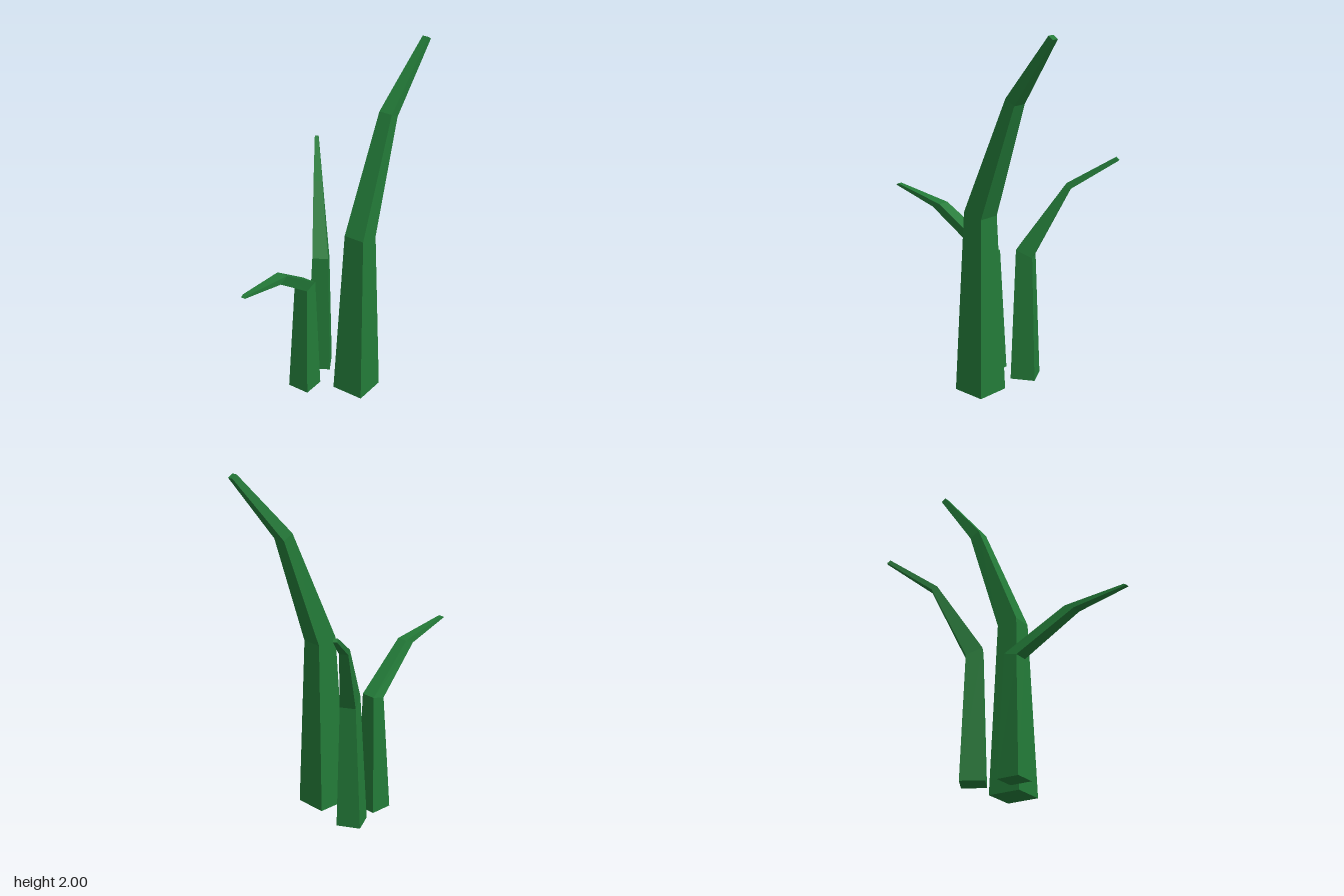
import * as THREE from 'three';

const green = new THREE.MeshStandardMaterial({ color: 0x237a38 });
green.name = 'leafGreen';

// Four-sided tapering stalk. Each ring: [leftX, leftY, rightX, rightY, backZ, frontZ]
function stalk(name, rings) {
  const corners = rings.map(([lx, ly, rx, ry, zb, zf]) => [
    [lx, ly, zb], [lx, ly, zf], [rx, ry, zf], [rx, ry, zb],
  ]);
  const pos = [];
  const quad = (a, b, c, d) => pos.push(...a, ...b, ...c, ...a, ...c, ...d);
  for (let k = 0; k < corners.length - 1; k++) {
    const lo = corners[k], hi = corners[k + 1];
    for (let i = 0; i < 4; i++) {
      const j = (i + 1) % 4;
      quad(lo[i], lo[j], hi[j], hi[i]);
    }
  }
  // closed foot and tip
  const foot = corners[0], tip = corners[corners.length - 1];
  quad(foot[0], foot[3], foot[2], foot[1]);
  quad(tip[0], tip[1], tip[2], tip[3]);

  const geo = new THREE.BufferGeometry();
  geo.setAttribute('position', new THREE.Float32BufferAttribute(pos, 3));
  geo.computeVertexNormals();
  const mesh = new THREE.Mesh(geo, green);
  mesh.name = name;
  return mesh;
}

export function createModel() {
  const group = new THREE.Group();
  group.name = 'plant';

  // tall stalk leaning to +x
  group.add(stalk('tallStalk', [
    [0.04, 0, 0.23, 0, 0.16, 0.35],
    [0.077, 1.01, 0.2, 0.99, 0.195, 0.315],
    [0.353, 1.652, 0.412, 1.62, 0.217, 0.295],
    [0.652, 2.0, 0.68, 1.982, 0.284, 0.319],
  ]));

  // short stalk bending to -x
  group.add(stalk('shortStalk', [
    [-0.095, 0, 0.035, 0, -0.06, 0.07],
    [-0.07, 0.675, 0.008, 0.695, -0.035, 0.05],
    [-0.38, 0.9, -0.325, 0.925, 0.042, 0.105],
    [-0.68, 0.97, -0.665, 0.98, 0.08, 0.105],
  ]));

  // middle stalk, turned toward the back
  const middle = stalk('middleStalk', [
    [-0.068, 0, 0.068, 0, -0.068, 0.068],
    [-0.045, 0.75, 0.045, 0.71, -0.04, 0.05],
    [0.207, 1.113, 0.237, 1.095, -0.059, -0.009],
    [0.469, 1.27, 0.486, 1.255, -0.078, -0.056],
  ]);
  middle.position.set(0.19, 0, -0.047);
  middle.rotation.y = Math.PI / 6;
  group.add(middle);

  return group;
}
